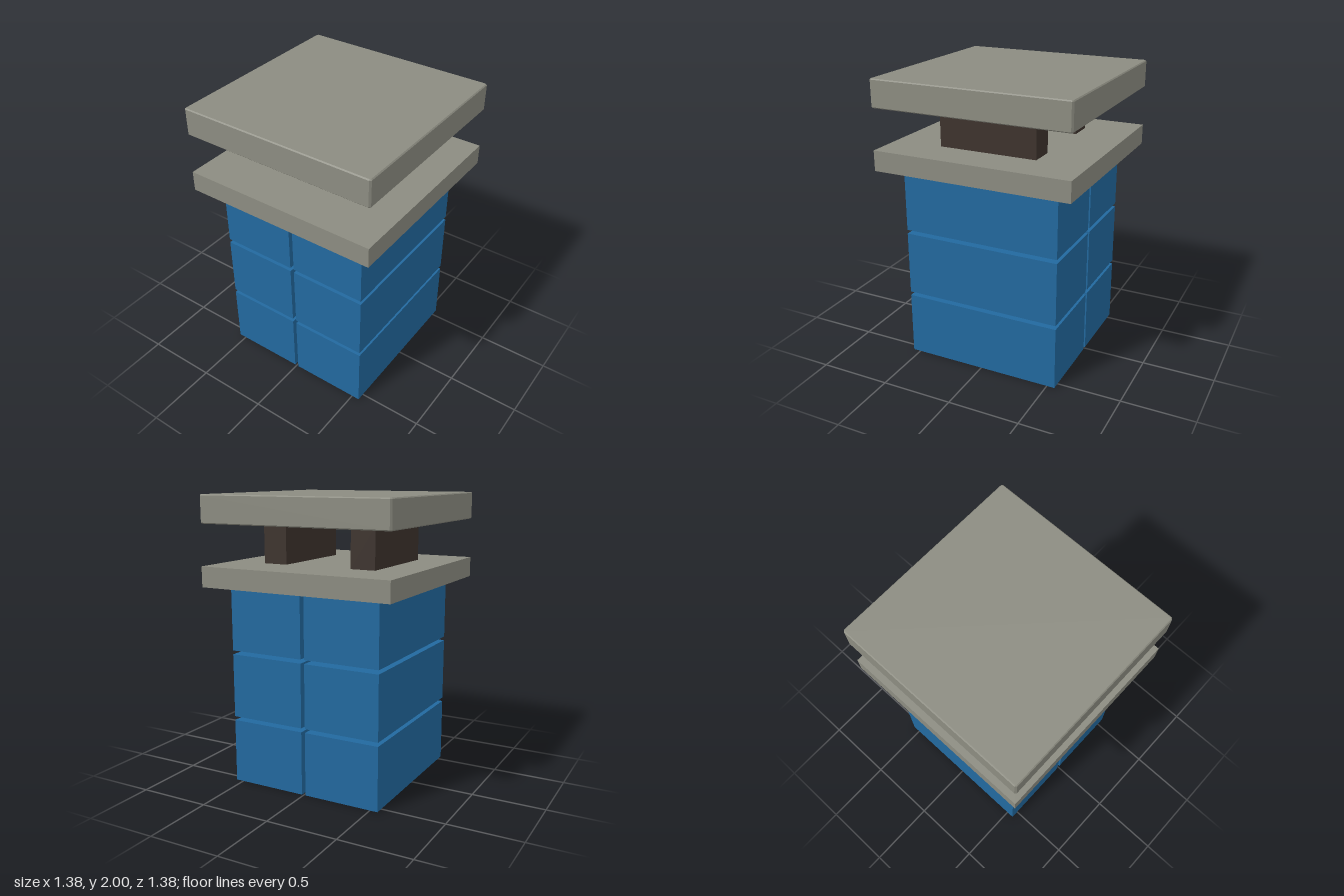
import * as THREE from 'three';

export function createModel() {
  const model = new THREE.Group();
  const material = (name, color) => {
    const m = new THREE.MeshStandardMaterial({ color });
    m.name = name;
    return m;
  };
  const blue = material('blue', 0x22699f);
  const stone = material('stone grey', 0x8c8c81);
  const brown = material('dark brown', 0x3d332d);

  const add = (name, geometry, mat, x, y, z) => {
    const mesh = new THREE.Mesh(geometry, mat);
    mesh.name = name;
    mesh.position.set(x, y, z);
    model.add(mesh);
  };

  // Base: three layers of paired blocks with open gaps between them
  const blockHeight = 0.445, pitch = 0.4725;
  const block = new THREE.BoxGeometry(0.541, blockHeight, 1.11);
  for (let row = 0; row < 3; row++) {
    for (const side of [-1, 1]) {
      add('baseBlock', block, blue, side * 0.2845, row * pitch + blockHeight / 2, 0);
    }
  }

  // Lower slab
  add('lowerSlab', new THREE.BoxGeometry(1.38, 0.14, 1.38), stone, 0, 1.46, 0);

  // Two supports running front to back
  const support = new THREE.BoxGeometry(0.175, 0.282, 0.69);
  for (const side of [-1, 1]) add('support', support, brown, side * 0.3325, 1.67, 0);

  // Upper slab with a fine chamfer on every edge
  const c = 0.007, h = 0.69 - c, e = 0.69 - 2 * c;
  const outline = new THREE.Shape([
    [-e, -h], [e, -h], [h, -e], [h, e], [e, h], [-e, h], [-h, e], [-h, -e],
  ].map(([x, y]) => new THREE.Vector2(x, y)));
  const top = new THREE.ExtrudeGeometry(outline, {
    depth: 0.19 - 2 * c, bevelEnabled: true, bevelThickness: c, bevelSize: c, bevelSegments: 1,
  });
  top.rotateX(-Math.PI / 2);
  add('upperSlab', top, stone, 0, 1.81 + c, 0);

  return model;
}
